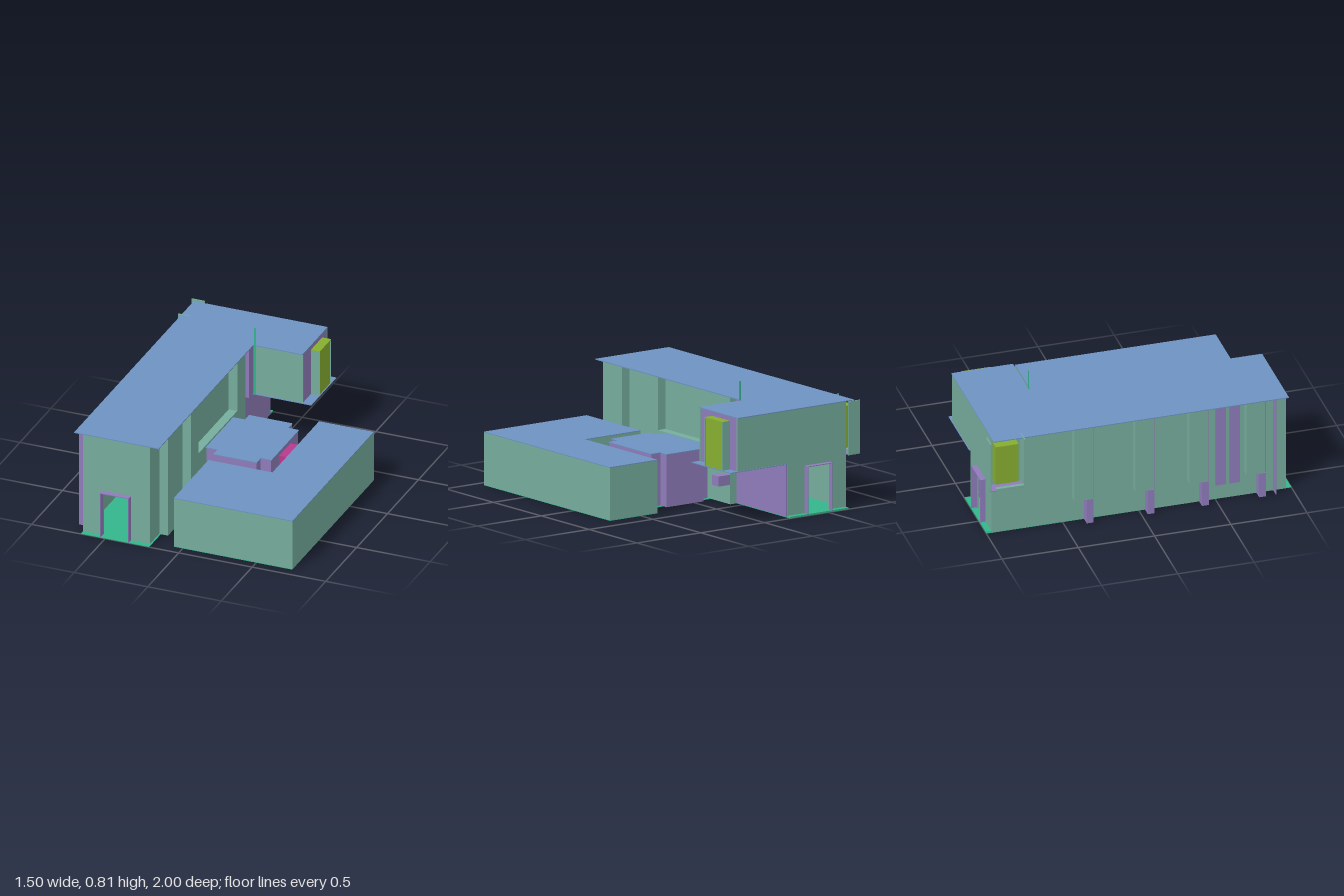
import * as THREE from 'three';

const mat = (color) => new THREE.MeshStandardMaterial({ color, side: THREE.DoubleSide });

export function createModel() {
  const model = new THREE.Group();
  const teal = mat(0x76ad9d), purple = mat(0x8f7cba), blue = mat(0x6d92c2);
  const green = mat(0x34b58c), lime = mat(0x86ae30), magenta = mat(0xb83a8c);
  const H = 0.69, F = 0.345; // roof and upper floor heights

  const add = (name, geo, material) => {
    const mesh = new THREE.Mesh(geo, material);
    mesh.name = name;
    model.add(mesh);
    return mesh;
  };
  // Box from its limits on each axis
  const box = (name, x0, x1, y0, y1, z0, z1, material) => {
    const g = new THREE.BoxGeometry(x1 - x0, y1 - y0, z1 - z0);
    g.translate((x0 + x1) / 2, (y0 + y1) / 2, (z0 + z1) / 2);
    return add(name, g, material);
  };
  // Horizontal prism from a plan outline of [x, z] corners
  const plan = (name, pts, y0, y1, material) => {
    const s = new THREE.Shape(pts.map(([x, z]) => new THREE.Vector2(x, -z)));
    const g = new THREE.ExtrudeGeometry(s, { depth: y1 - y0, bevelEnabled: false });
    g.rotateX(-Math.PI / 2).translate(0, y0, 0);
    return add(name, g, material);
  };

  // Ground plate joining both wings
  plan('groundPlate', [[-0.665, -1], [-0.2, -1], [-0.2, -0.24], [0.375, -0.24], [0.375, -0.38],
    [0.745, -0.38], [0.745, 0.935], [-0.06, 0.935], [-0.06, 0.375], [0.375, 0.375],
    [0.375, 0.23], [-0.2, 0.23], [-0.2, 1], [-0.665, 1]], 0, 0.004, green);

  // Main roof, including the cantilevered wing
  plan('mainRoof', [[-0.725, -0.97], [0.185, -0.97], [0.185, -0.565], [-0.15, -0.565],
    [-0.15, 0.965], [-0.725, 0.965]], H - 0.006, H, blue);

  // End walls with a doorway, projecting jambs and lintel
  for (const side of [-1, 1]) {
    const s = new THREE.Shape();
    s.moveTo(-0.665, 0).lineTo(-0.53, 0).lineTo(-0.53, 0.31).lineTo(-0.345, 0.31);
    s.lineTo(-0.345, 0).lineTo(-0.21, 0).lineTo(-0.21, H - 0.006).lineTo(-0.665, H - 0.006);
    const g = new THREE.ExtrudeGeometry(s, { depth: 0.015, bevelEnabled: false });
    g.translate(0, 0, side > 0 ? 0.948 : -0.965);
    add('endWall', g, teal);
    const [z0, z1] = side > 0 ? [0.95, 1] : [-1, -0.95];
    for (const x of [-0.535, -0.345]) box('doorJamb', x, x + 0.005, 0, 0.315, z0, z1, purple);
    box('doorLintel', -0.535, -0.34, 0.31, 0.315, z0, z1, purple);
  }

  // Long side walls
  box('westWall', -0.665, -0.655, 0, H - 0.006, -0.96, 0.96, teal);
  box('eastWall', -0.22, -0.21, 0, H - 0.006, -0.44, 0.96, teal);
  box('rearEastWall', -0.22, -0.2, 0, H - 0.006, -0.96, -0.44, purple);

  // East piers and the low window wall between them
  for (const [z0, z1] of [[0.69, 0.81], [0.315, 0.44], [-0.44, -0.31]])
    box('eastPier', -0.22, -0.152, 0, H - 0.006, z0, z1, teal);
  box('eastSillWall', -0.22, -0.152, 0, F, -0.31, 0.315, teal);
  box('sillBeam', -0.152, -0.06, 0.125, 0.19, -0.44, -0.37, purple);

  // West piers, each on a narrower foot
  for (const z of [-0.44, -0.04, 0.315, 0.69]) {
    box('westPier', -0.722, -0.665, 0.17, H - 0.006, z, z + 0.12, teal);
    box('pierFace', -0.722, -0.665, 0.17, H - 0.006, z + 0.12, z + 0.125, purple);
    box('pierFoot', -0.725, -0.665, 0, 0.17, z + 0.08, z + 0.125, purple);
  }
  for (const z of [0.5, 0.59]) box('westPanel', -0.672, -0.66, 0.1, H - 0.01, z, z + 0.07, purple);
  box('frontFin', -0.725, -0.655, 0, H - 0.006, 0.88, 0.885, purple);

  // Corner bay window at the rear west
  box('cornerBayFloor', -0.75, -0.665, F, F + 0.005, -1, -0.77, purple);
  box('cornerBayRearWall', -0.75, -0.66, F, H, -1, -0.992, teal);
  box('cornerBayWindow', -0.735, -0.665, F + 0.04, H - 0.035, -0.96, -0.81, lime);
  box('cornerBaySill', -0.75, -0.725, F, F + 0.015, -0.96, -0.77, teal);
  box('cornerBayJamb', -0.75, -0.665, F, H, -0.778, -0.77, teal);
  box('rearCanopy', -0.66, -0.2, 0.004, 0.01, -1, -0.965, green);

  // Cantilevered wing: floor, walls and end bay
  box('wingFloor', -0.2, 0.245, F - 0.005, F, -0.97, -0.565, blue);
  box('wingFrontWall', -0.152, 0.185, F, H - 0.006, -0.58, -0.57, teal);
  box('wingRearWall', -0.22, 0.185, F, H - 0.006, -0.965, -0.955, teal);
  box('wingEndWall', 0.175, 0.184, F, H - 0.006, -0.955, -0.58, purple);
  box('wingReturn', -0.2, -0.152, F, H - 0.006, -0.58, -0.5, purple);
  for (const z of [-0.885, -0.705]) box('endBayJamb', 0.184, 0.245, F, 0.655, z, z + 0.005, teal);
  box('endBayTop', 0.184, 0.245, 0.65, 0.657, -0.885, -0.7, lime);
  box('endBayWindow', 0.225, 0.238, F, 0.65, -0.88, -0.705, lime);

  // Slim mast
  box('mast', -0.143, -0.131, F, 0.815, -0.563, -0.56, green);

  // Low L-shaped wing
  const lowPlan = [[0.375, -0.38], [0.747, -0.38], [0.747, 0.935], [-0.06, 0.935],
    [-0.06, 0.375], [0.375, 0.375]];
  plan('lowWingWalls', lowPlan, 0.004, F - 0.005, teal);
  plan('lowWingRoof', lowPlan, F - 0.005, F, blue);

  // Central pavilion on a cross-shaped plan
  const cross = (x0, x1, x2, x3, z1, z2) => [[x0, -z1], [x1, -z1], [x1, -z2], [x2, -z2],
    [x2, -z1], [x3, -z1], [x3, z1], [x2, z1], [x2, z2], [x1, z2], [x1, z1], [x0, z1]];
  plan('pavilionWalls', cross(-0.14, -0.06, 0.23, 0.3, 0.22, 0.285), 0.004, F - 0.006, purple);
  plan('pavilionRoof', cross(-0.143, -0.063, 0.233, 0.305, 0.222, 0.289), F - 0.006, F, blue);
  box('pavilionLink', 0.3, 0.376, 0.004, 0.31, -0.095, 0.088, magenta);

  return model;
}
